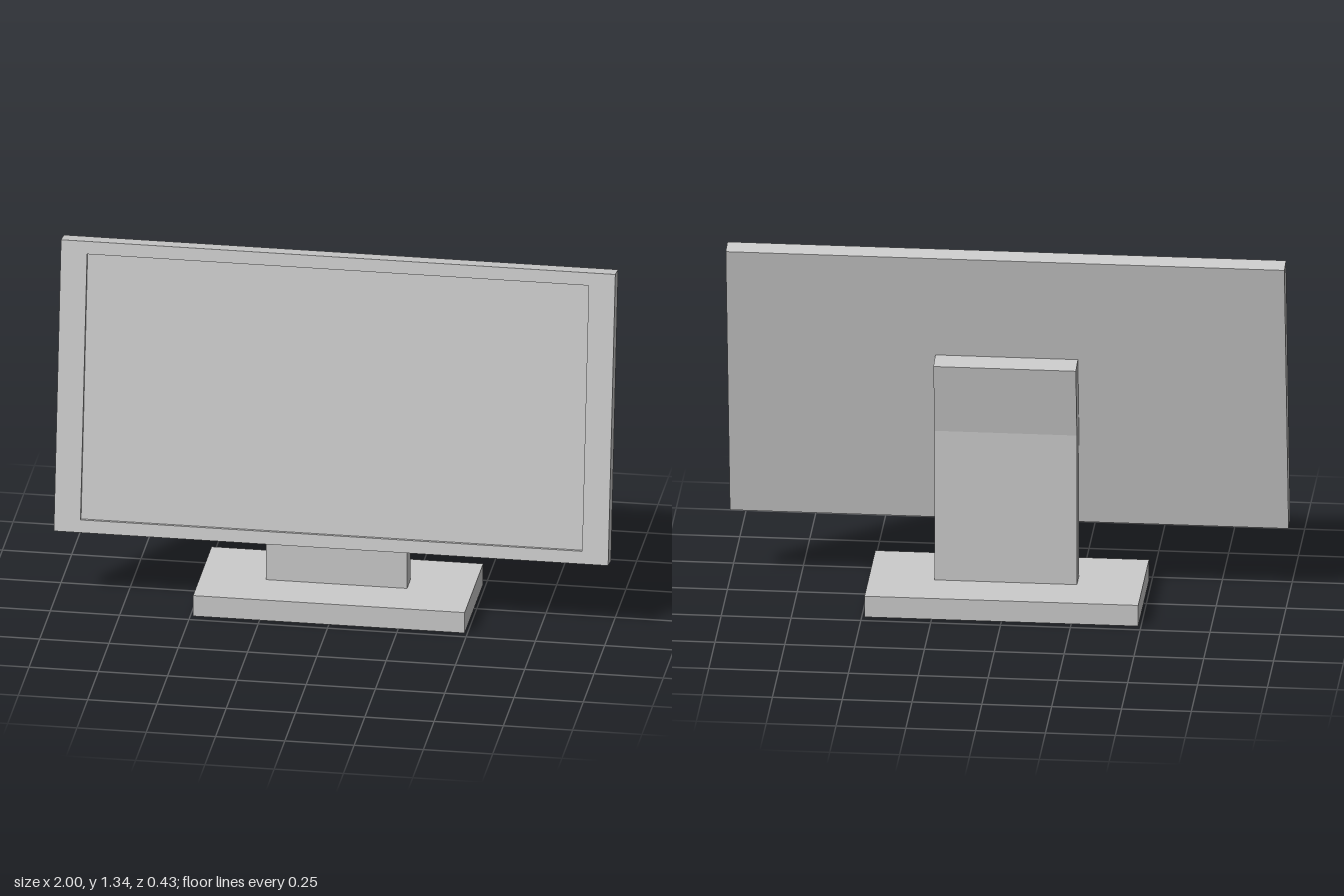
import * as THREE from 'three';

const material = new THREE.MeshStandardMaterial({ color: 0xcccccc, flatShading: true });

function part(name, geometry, parent, x = 0, y = 0, z = 0) {
  const mesh = new THREE.Mesh(geometry, material);
  mesh.name = name;
  mesh.position.set(x, y, z);
  parent.add(mesh);
  return mesh;
}

function rectangle(PathClass, w, h) {
  return new PathClass([[-w, -h], [w, -h], [w, h], [-w, h]]
    .map(([x, y]) => new THREE.Vector2(x / 2, y / 2)));
}

export function createModel() {
  const model = new THREE.Group();
  model.name = 'monitor';

  // Base plate
  part('base', new THREE.BoxGeometry(0.98, 0.08, 0.434), model, 0, 0.04, 0.001);

  // Neck: side profile (z, y) with a bend, extruded across the width
  const neckWidth = 0.51;
  const profile = new THREE.Shape([
    [0.04, 0.08], [0.04, 0.64], [-0.003, 0.932], [-0.085, 0.92], [-0.042, 0.655], [-0.04, 0.08],
  ].map(([z, y]) => new THREE.Vector2(-z, y)));
  const neck = new THREE.ExtrudeGeometry(profile, { depth: neckWidth, bevelEnabled: false });
  neck.translate(0, 0, -neckWidth / 2).rotateY(Math.PI / 2);
  part('neck', neck, model);

  // Tilted display: back panel with a raised bezel around the recessed screen
  const width = 2, height = 1.076, depth = 0.068, recess = 0.015;
  const display = new THREE.Group();
  display.name = 'display';
  display.position.set(0, 0.802, 0.051);
  display.rotation.x = -THREE.MathUtils.degToRad(9);
  model.add(display);

  part('screenPanel', new THREE.BoxGeometry(width, height, depth - recess), display, 0, 0, -recess / 2);

  const frame = rectangle(THREE.Shape, width, height);
  frame.holes.push(rectangle(THREE.Path, 1.81, 0.982));
  part('bezel', new THREE.ExtrudeGeometry(frame, { depth: recess, bevelEnabled: false }),
    display, 0, 0, depth / 2 - recess);

  return model;
}
